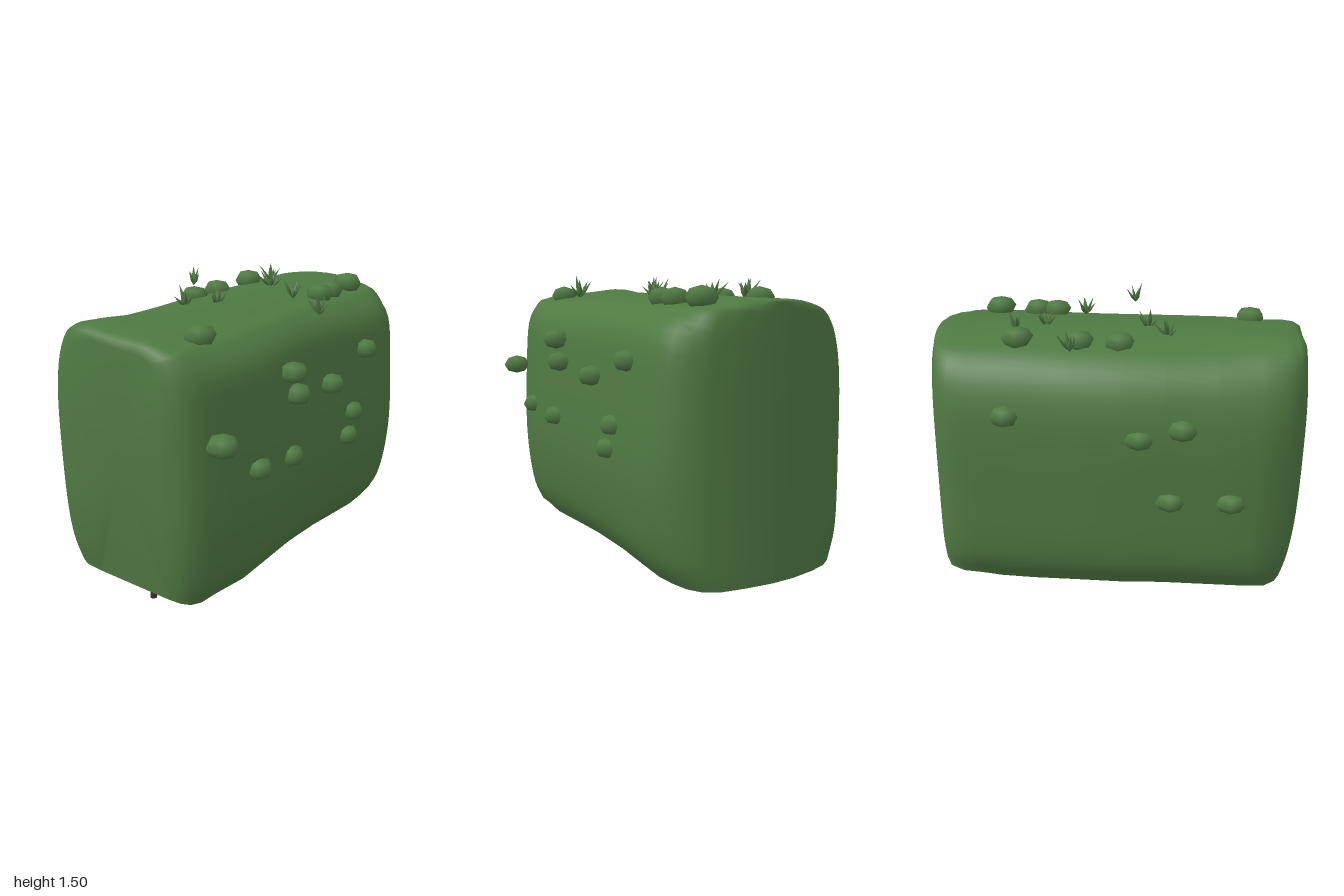
import * as THREE from 'three';

const leaf = new THREE.MeshStandardMaterial({ color: 0x4f7942 });
leaf.name = 'leaf green';
const bark = new THREE.MeshStandardMaterial({ color: 0x44302a });
bark.name = 'bark brown';

// Hedge cross-section: u across (front +1, back -1), v up (0 to 1)
const profile = new THREE.CatmullRomCurve3([
  [0.74, 0], [0.88, 0.09], [0.96, 0.22], [1, 0.4], [0.965, 0.66], [0.9, 0.86], [0.68, 0.955], [0.45, 0.977],
  [0, 1], [-0.45, 0.98], [-0.7, 0.945], [-0.88, 0.86], [-0.975, 0.72], [-0.985, 0.4], [-0.95, 0.13], [-0.8, 0],
].map(([u, v]) => new THREE.Vector3(u, v, 0)), false, 'centripetal').getPoints(60);

// Stations along the hedge: x, front z, back z, top y, bottom y
const stations = [
  [-1.0, 0.26, -0.22, 1.35, 0.13], [-0.985, 0.34, -0.35, 1.385, 0.125], [-0.95, 0.4, -0.42, 1.4, 0.12],
  [-0.88, 0.45, -0.485, 1.406, 0.115], [-0.76, 0.495, -0.53, 1.407, 0.11], [-0.55, 0.54, -0.54, 1.408, 0.105],
  [-0.3, 0.53, -0.55, 1.408, 0.1], [-0.08, 0.515, -0.565, 1.407, 0.09], [0.18, 0.52, -0.555, 1.403, 0.075],
  [0.4, 0.54, -0.545, 1.4, 0.06], [0.58, 0.565, -0.54, 1.397, 0.055], [0.7, 0.57, -0.535, 1.394, 0.06],
  [0.8, 0.54, -0.525, 1.392, 0.065], [0.88, 0.47, -0.465, 1.39, 0.07], [0.93, 0.38, -0.36, 1.388, 0.075],
  [0.965, 0.23, -0.23, 1.385, 0.08], [0.983, 0.07, -0.08, 1.375, 0.08],
];

// How far a station lies into the rounded ends, 0 to 1
const endness = (x) => Math.max(0, (Math.abs(x) - 0.75) / 0.25);

// Ends lean slightly: the left one bulges at mid height, the right one flares downward
function leanX(x, v) {
  const w = endness(x);
  return x < 0 ? x + w * 0.045 * Math.pow(Math.abs(2 * v - 1.1), 3) : x + w * (0.015 - 0.045 * v);
}

// The cross-section gets squarer towards the ends
function acrossZ(x, u, zf, zb) {
  const s = Math.pow(Math.abs(u), 1 - 0.6 * endness(x));
  return u >= 0 ? s * zf : s * zb;
}

// The top rises into a hump behind the left end
function hump(x, u, v) {
  const back = Math.sin(Math.PI * THREE.MathUtils.clamp(-u, 0, 1));
  return 0.04 * THREE.MathUtils.smoothstep(-x, 0.45, 0.8) * back * v ** 6;
}

function geometryFrom(pos, idx) {
  const g = new THREE.BufferGeometry();
  g.setAttribute('position', new THREE.Float32BufferAttribute(pos, 3));
  g.setIndex(idx);
  g.computeVertexNormals();
  return g;
}

function hedgeShell() {
  const pos = [], idx = [], n = profile.length;
  for (const [x, zf, zb, top, bot] of stations) {
    for (const p of profile) {
      const v = THREE.MathUtils.clamp(p.y, 0, 1);
      pos.push(leanX(x, v), bot + v * (top - bot) + hump(x, p.x, v), acrossZ(x, p.x, zf, zb));
    }
  }
  for (let s = 0; s < stations.length - 1; s++) {
    for (let i = 0; i < n - 1; i++) {
      const a = s * n + i, b = a + n;
      idx.push(a, b, a + 1, b, b + 1, a + 1);
    }
  }
  // end caps, smooth with the sides
  const last = (stations.length - 1) * n;
  pos.push(-1.0, 0.8, 0.02, 0.983, 0.6, 0);
  const c0 = pos.length / 3 - 2, c1 = c0 + 1;
  for (let i = 0; i < n; i++) {
    const j = (i + 1) % n;
    idx.push(c0, i, j, c1, last + j, last + i);
  }
  return geometryFrom(pos, idx);
}

// Flat underside joining the two lower edges
function hedgeBase() {
  const pos = [], idx = [];
  stations.forEach(([x, zf, zb, , bot], s) => {
    for (const u of [0.74, -0.8]) pos.push(leanX(x, 0), bot, acrossZ(x, u, zf, zb));
    if (s) {
      const a = 2 * s - 2;
      idx.push(a, a + 1, a + 2, a + 1, a + 3, a + 2);
    }
  });
  return geometryFrom(pos, idx);
}

export function createModel() {
  const root = new THREE.Group();
  root.name = 'hedge';
  const add = (parent, name, geo, mat, x = 0, y = 0, z = 0) => {
    const m = new THREE.Mesh(geo, mat);
    m.name = name;
    m.position.set(x, y, z);
    parent.add(m);
    return m;
  };

  add(root, 'hedgeBody', hedgeShell(), leaf);
  add(root, 'hedgeUnderside', hedgeBase(), leaf);

  // Leaf clumps: flattened six-sided balls
  const clumpGeo = new THREE.SphereGeometry(0.08, 6, 4).rotateY(Math.PI / 2).scale(1, 0.66, 1);
  const clumps = [
    // front
    [-0.865, 0.975, 0.51], [-0.3, 1.16, 0.515], [-0.26, 1.04, 0.515], [0.09, 0.995, 0.51], [0.455, 1.1, 0.515],
    [-0.595, 0.77, 0.51], [-0.315, 0.735, 0.515], [0.32, 0.775, 0.515], [0.27, 0.65, 0.515],
    // back
    [0.49, 1.06, -0.515], [-0.18, 0.98, -0.52], [-0.39, 1.04, -0.52], [-0.34, 0.65, -0.52], [-0.64, 0.66, -0.515],
    // top
    [-0.695, 1.39, 0.265], [0.375, 1.39, 0.265], [0.485, 1.39, 0.265], [0.7, 1.395, 0.265, 1.08],
    [-0.05, 1.385, -0.275], [0.155, 1.385, -0.275], [0.47, 1.39, -0.275, 1.05],
  ];
  for (const [x, y, z, s = 1] of clumps) add(root, 'leafClump', clumpGeo, leaf, x, y, z).scale.setScalar(s);

  // Sprouts: splayed blades, widest below the middle and pointed at both ends
  const bladeGeo = new THREE.LatheGeometry(
    [[0, 0], [0.014, 0.04], [0.01, 0.065], [0, 0.115]].map(([r, y]) => new THREE.Vector2(r, y)), 4);
  const sprouts = [
    [0.165, -0.45], [-0.28, -0.15], [-0.17, -0.03], [0.37, -0.05], [0.51, -0.14], [0.2, 0.2], [-0.04, 0.5],
  ];
  sprouts.forEach(([x, z], k) => {
    const tuft = new THREE.Group();
    tuft.name = 'sprout';
    tuft.position.set(x, 1.385, z);
    for (let i = 0; i < 5; i++) {
      const blade = add(tuft, 'blade', bladeGeo, leaf);
      blade.rotation.set(0, k * 1.9 + i * 1.257, 0.3 + 0.17 * ((i * 2 + k) % 4), 'YXZ');
      blade.scale.set(0.6, 0.75 + 0.1 * ((i + k) % 4), 1);
    }
    root.add(tuft);
  });

  // Stems: short, slightly bent trunks under the hedge
  const stems = [
    [-0.82, 0.03], [-0.46, 0.07], [-0.28, -0.085], [0.04, -0.01], [0.3, -0.085], [0.5, 0.09], [0.74, 0],
  ];
  stems.forEach(([x, z], k) => {
    const bend = k % 2 ? 0.008 : -0.008;
    const path = new THREE.CatmullRomCurve3([
      new THREE.Vector3(0, 0, 0), new THREE.Vector3(0, 0.05, 0), new THREE.Vector3(bend, 0.16, bend),
    ]);
    add(root, 'stem', new THREE.TubeGeometry(path, 4, 0.018, 6), bark, x, 0, z);
    add(root, 'stemFoot', new THREE.CircleGeometry(0.018, 6).rotateX(Math.PI / 2), bark, x, 0.001, z);
  });

  return root;
}
